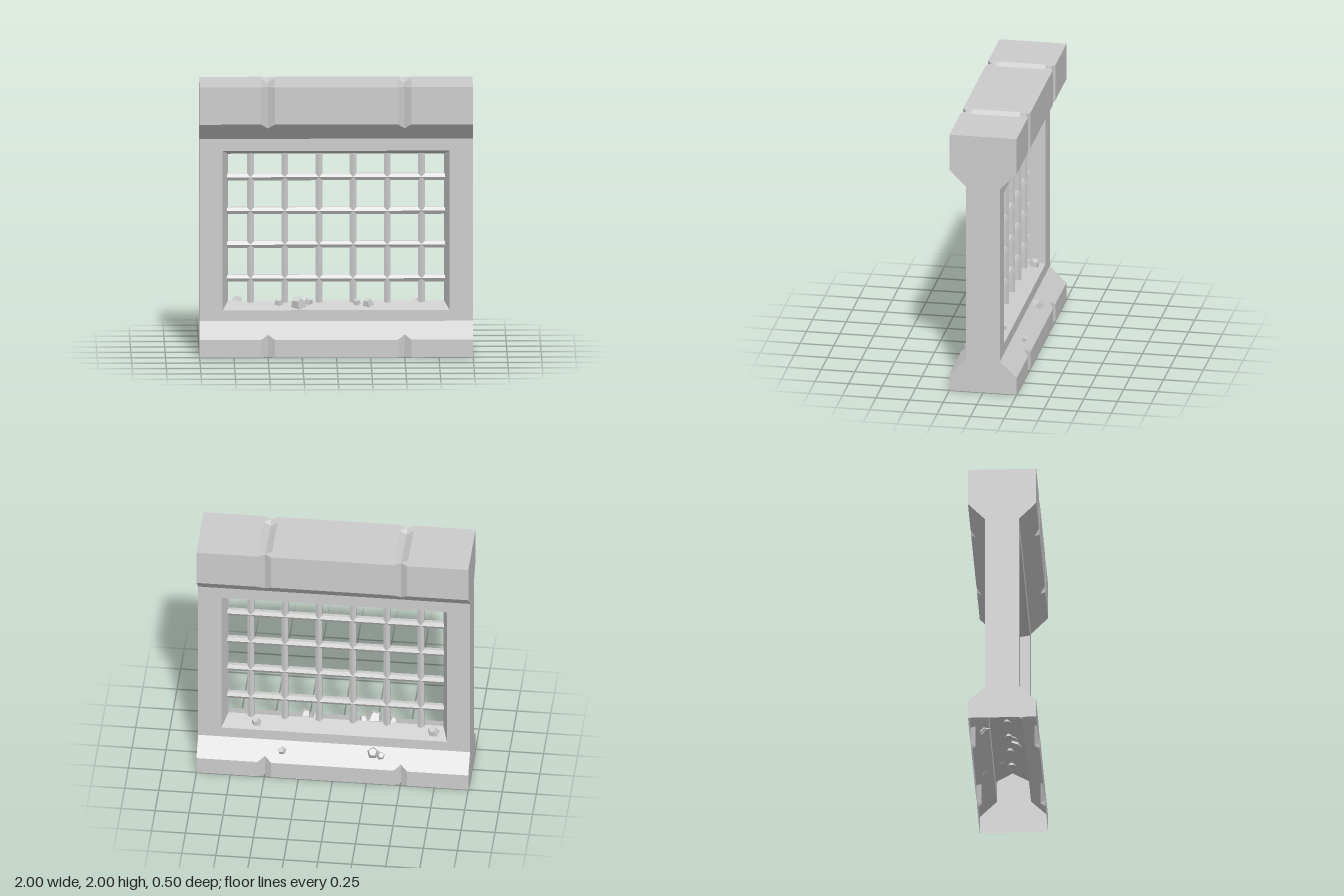
import * as THREE from 'three';

const material = new THREE.MeshStandardMaterial({ color: 0xcccccc, flatShading: true, side: THREE.DoubleSide });

function add(parent, name, geometry) {
  const mesh = new THREE.Mesh(geometry, material);
  mesh.name = name;
  parent.add(mesh);
  return mesh;
}

// Skin a list of rows, each a list of [x, y, z] points
function skin(rows) {
  const out = [];
  for (let i = 0; i < rows.length - 1; i++) {
    for (let j = 0; j < rows[i].length - 1; j++) {
      const a = rows[i][j], b = rows[i + 1][j], c = rows[i + 1][j + 1], d = rows[i][j + 1];
      out.push(...a, ...b, ...c, ...a, ...c, ...d);
    }
  }
  const g = new THREE.BufferGeometry();
  g.setAttribute('position', new THREE.Float32BufferAttribute(out, 3));
  g.computeVertexNormals();
  return g;
}

const polygon = (points) => points.map(([x, y]) => new THREE.Vector2(x, y));

// Main sizes
const DEEP = 0.25, THIN = 0.125, NOTCH = 0.035, NOTCH_W = 0.05;
const BASE_Y = 0.13, PANEL_LOW = 0.25, PANEL_HIGH = 1.6, CAP_Y = 1.725, TOP = 2;
const notches = [-0.5, 0.5];
const stations = [[-1, 0]];
for (const x of notches) stations.push([x - NOTCH_W, 0], [x, NOTCH], [x + NOTCH_W, 0]);
stations.push([1, 0]);

// Clockwise corners of the window opening, w = half width
const opening = (w, low, high) => [[-w, low], [-w, high], [w, high], [w, low]];
const OUTER = opening(0.83, 0.33, 1.51), INNER = opening(0.79, 0.38, 1.47);

// One face of the wall with one end; turned by 180 degrees it makes the other half
function createHalf() {
  const half = new THREE.Group();
  const slope = (PANEL_LOW - BASE_Y) / (DEEP - THIN);

  add(half, 'base', skin(stations.map(([x, n]) => [
    [x, 0, DEEP - n], [x, BASE_Y + n * slope, DEEP - n], [x, PANEL_LOW, THIN]])));
  add(half, 'cap', skin(stations.map(([x, n]) => [
    [x, PANEL_HIGH, THIN], [x, CAP_Y - n, DEEP - n], [x, TOP, DEEP - n]])));

  const panel = new THREE.Shape(polygon([[-1, PANEL_LOW], [1, PANEL_LOW], [1, PANEL_HIGH], [-1, PANEL_HIGH]]));
  panel.holes.push(new THREE.Path(polygon(OUTER)));
  add(half, 'wallPanel', new THREE.ShapeGeometry(panel)).position.z = THIN;

  const side = [[DEEP, 0], [DEEP, BASE_Y], [THIN, PANEL_LOW], [THIN, PANEL_HIGH], [DEEP, CAP_Y], [DEEP, TOP]];
  const mirrored = side.map(([z, y]) => [-z, y]).reverse();
  const end = new THREE.ShapeGeometry(new THREE.Shape(polygon([...side, ...mirrored])));
  add(half, 'wallEnd', end.rotateY(Math.PI / 2)).position.x = 1;
  return half;
}

// Top face, notched on its long edges, with two sunken V grooves
function addTop(parent) {
  const edge = stations.map(([x, n]) => [x, -(DEEP - n)]);
  const back = edge.map(([x, z]) => [x, -z]).reverse();
  const shape = new THREE.Shape(polygon([...edge, ...back]));
  const tip = DEEP - NOTCH, shoulder = tip - NOTCH;
  for (const x of notches) {
    const l = x - NOTCH_W, r = x + NOTCH_W;
    shape.holes.push(new THREE.Path(polygon([
      [l, -shoulder], [l, shoulder], [x, tip], [r, shoulder], [r, -shoulder], [x, -tip]])));
    const rim = (px) => [shoulder, shoulder, -shoulder, -shoulder].map((z) => [px, TOP, z]);
    const low = TOP - NOTCH;
    const valley = [[x, TOP, tip], [x, low, shoulder], [x, low, -shoulder], [x, TOP, -tip]];
    add(parent, 'topGroove', skin([rim(l), valley, rim(r)]));
  }
  add(parent, 'topFace', new THREE.ShapeGeometry(shape).rotateX(-Math.PI / 2)).position.y = TOP;
}

// Crossed hexagonal bars
function addGrate(parent) {
  const grate = new THREE.Group();
  grate.name = 'grate';
  parent.add(grate);
  const bar = (length) => new THREE.CylinderGeometry(0.029, 0.029, length, 6);
  for (let i = 0; i < 6; i++) {
    add(grate, 'verticalBar', bar(1.13)).position.set(-0.625 + i * 0.25, 0.925, 0);
  }
  for (let i = 0; i < 4; i++) {
    const mesh = add(grate, 'horizontalBar', bar(1.61));
    mesh.rotation.z = Math.PI / 2;
    mesh.position.y = 0.55 + i * 0.25;
  }
}

// Faceted stones lying on the sill and on the rear slope of the base
function addRubble(parent) {
  const rubble = new THREE.Group();
  rubble.name = 'rubble';
  parent.add(rubble);
  const stone = (x, y, z, r, tilt, i) => {
    const g = new THREE.CylinderGeometry(r * 0.6, r, r * 1.1, 5);
    g.rotateY(i * 1.3).rotateZ(((i % 3) - 1) * 0.2).rotateX(tilt);
    add(rubble, 'stone', g).position.set(x, y, z);
  };
  // x, z, radius on the sill
  const onSill = [[-0.72, -0.06, 0.048], [-0.42, 0.04, 0.038], [-0.28, 0.07, 0.066], [-0.2, 0.03, 0.038],
    [0.15, 0.04, 0.034], [0.23, 0.055, 0.048], [0.58, -0.07, 0.04]];
  onSill.forEach(([x, z, r], i) =>
    stone(x, 0.38 - 0.4 * Math.abs(z) + r * 0.35, z, r, Math.sign(z) * 0.38, i));
  // x, z, radius on the base
  const onBase = [[0.38, -0.18, 0.035], [-0.29, -0.162, 0.05], [-0.35, -0.175, 0.035]];
  onBase.forEach(([x, z, r], i) =>
    stone(x, BASE_Y + (DEEP + z) * 0.96 + r * 0.2, z - r * 0.2, r, -0.77, i));
}

export function createModel() {
  const model = new THREE.Group();
  model.name = 'gratedWall';
  for (const [name, angle] of [['frontHalf', 0], ['backHalf', Math.PI]]) {
    const half = createHalf();
    half.name = name;
    half.rotation.y = angle;
    model.add(half);
  }
  // Window reveal, narrowing to the middle of the wall
  const loop = (corners, z) => [...corners, corners[0]].map(([x, y]) => [x, y, z]);
  add(model, 'windowReveal', skin([loop(OUTER, THIN), loop(INNER, 0), loop(OUTER, -THIN)]));
  addTop(model);
  addGrate(model);
  addRubble(model);
  return model;
}
